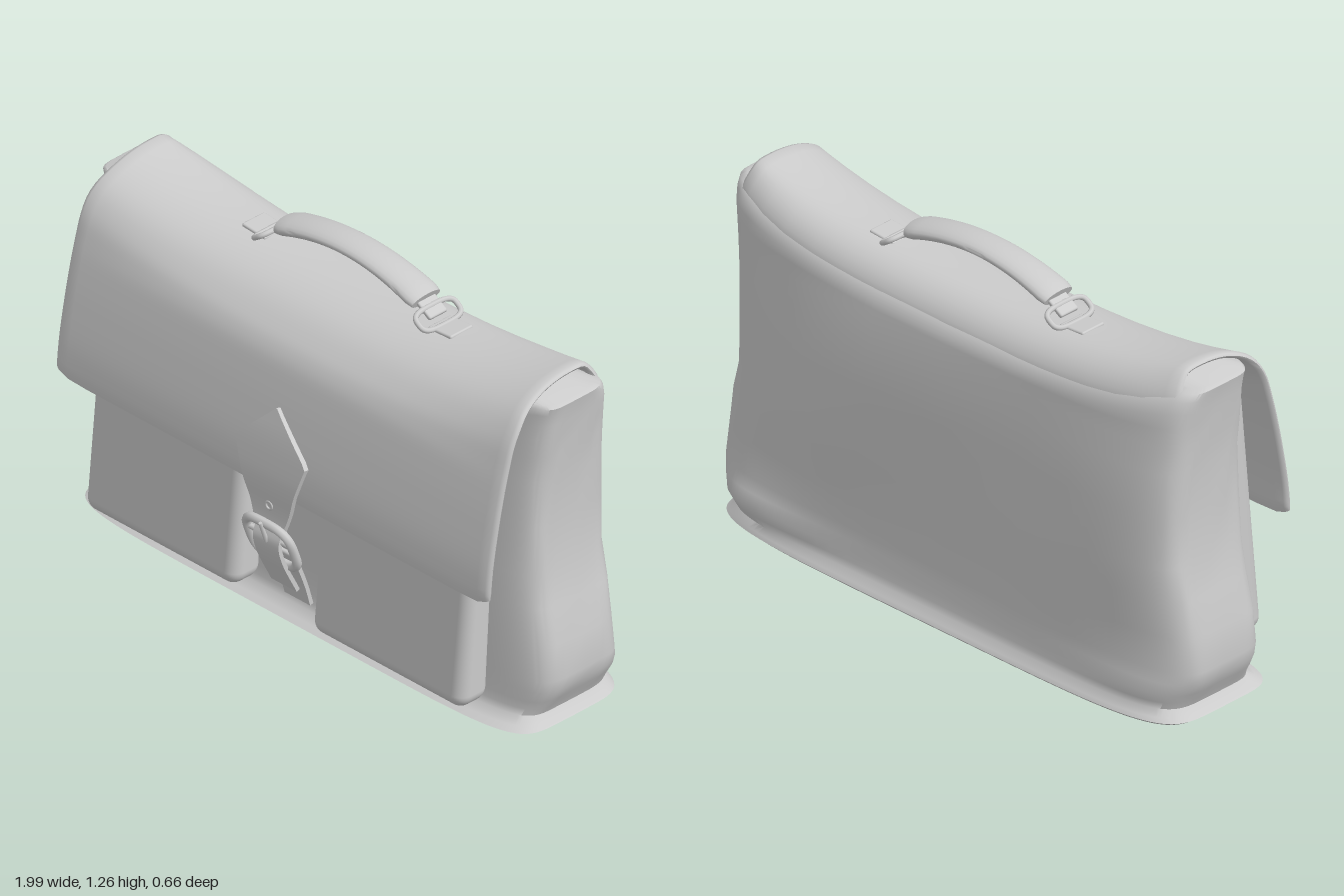
import * as THREE from 'three';
import { toCreasedNormals } from 'three/addons/utils/BufferGeometryUtils.js';
import { RoundedBoxGeometry } from 'three/addons/geometries/RoundedBoxGeometry.js';

const V = (x, y, z) => new THREE.Vector3(x, y, z);
const material = new THREE.MeshStandardMaterial({ color: 0xcccccc, side: THREE.DoubleSide });

function add(parent, name, geometry, x = 0, y = 0, z = 0) {
  const mesh = new THREE.Mesh(geometry, material);
  mesh.name = name;
  mesh.position.set(x, y, z);
  parent.add(mesh);
  return mesh;
}

// Skin over closed rings that all have the same number of points
function loft(rings, crease = 0.8) {
  const n = rings[0].length, index = [];
  for (let i = 0; i < rings.length - 1; i++) {
    for (let j = 0; j < n; j++) {
      const k = (j + 1) % n;
      const a = i * n + j, b = i * n + k, c = b + n, d = a + n;
      index.push(a, d, b, b, d, c);
    }
  }
  const g = new THREE.BufferGeometry().setFromPoints(rings.flat());
  g.setIndex(index);
  return toCreasedNormals(g, crease);
}

// Pocket box that leans back and thins out towards the top
function pocketGeometry() {
  const g = new RoundedBoxGeometry(0.655, 0.885, 0.13, 5, 0.045);
  const p = g.attributes.position;
  for (let i = 0; i < p.count; i++) {
    const t = p.getY(i) / 0.885 + 0.5;
    p.setZ(i, p.getZ(i) * (1 - 0.35 * t) + 0.231 - 0.068 * t);
  }
  return g;
}

// The soft top hangs lower in the middle than at the ends
const sag = (x, y) => 0.09 * THREE.MathUtils.smoothstep(y, 0.9, 1.14)
  * (1 - Math.min(1, Math.abs(x) / 0.92) ** 2.8);

// Leather sack: rounded rectangles by height [y, half width, front z, back z]
function bodyGeometry() {
  const levels = [
    [0, 0.001, -0.049, -0.051], [0, 0.955, 0.2, -0.3], [0.012, 0.972, 0.215, -0.312],
    [0.025, 0.955, 0.195, -0.305], [0.045, 0.94, 0.165, -0.283], [0.07, 0.952, 0.158, -0.278],
    [0.1, 0.97, 0.155, -0.275], [0.14, 0.99, 0.152, -0.272], [0.18, 0.998, 0.15, -0.27],
    [0.3, 0.988, 0.147, -0.272], [0.42, 0.965, 0.143, -0.278], [0.53, 0.945, 0.14, -0.282],
    [0.7, 0.94, 0.133, -0.28], [0.86, 0.943, 0.125, -0.277], [0.95, 0.95, 0.121, -0.265],
    [1.02, 0.957, 0.118, -0.262], [1.07, 0.962, 0.117, -0.258], [1.11, 0.968, 0.115, -0.243],
    [1.135, 0.973, 0.113, -0.22], [1.145, 0.96, 0.107, -0.195], [1.145, 0.001, -0.049, -0.051]
  ];
  const rounded = (t, n) => Math.sign(t) * Math.abs(t) ** (2 / n);
  return loft(levels.map(([y, w, front, back]) => {
    const ring = [];
    for (let j = 0; j < 120; j++) {
      const a = j / 120 * Math.PI * 2;
      // the front edges are crisper than the back ones
      const power = Math.sin(a) > 0 ? 6.5 : 5;
      const u = rounded(Math.cos(a), power), s = rounded(Math.sin(a), power);
      // shallow creases in the gussets and back panel, folds sticking out at the low back corners
      const belly = Math.sin(Math.PI * y / 1.145);
      const fold = 0.012 * Math.sin(y * 13 + s * 4) * Math.abs(u) ** 6 * belly;
      const wave = s < 0 ? 0.008 * Math.sin(u * 5 + y * 4) * belly : 0;
      const ear = s < 0 ? (u > 0 ? 0.11 : 0.04) * u ** 4 * s ** 4 * Math.exp(-(((y - 0.1) / 0.05) ** 2)) : 0;
      const x = u * (w - Math.abs(fold));
      ring.push(V(x, y - sag(x, y), (front + back) / 2 + s * (front - back) / 2 + wave - ear));
    }
    return ring;
  }), 1);
}

// Cover sheet: side profile (z, y) given thickness and swept across the width, back edge tucked in
function flapGeometry() {
  const profile = new THREE.CatmullRomCurve3([
    [0.285, 0.515], [0.276, 0.63], [0.252, 0.77], [0.233, 0.86], [0.208, 0.96], [0.175, 1.06],
    [0.125, 1.128], [0.04, 1.172], [-0.07, 1.19], [-0.16, 1.18], [-0.215, 1.14], [-0.238, 1.08]
  ].map(([z, y]) => V(0, y, z)));
  const N = 44, rings = [];
  const xs = [0.93, 0.926, 0.915, 0.88, 0.8, 0.7, 0.58, 0.45, 0.3, 0.15];
  const across = [...xs.map(x => -x), 0, ...xs.slice().reverse()];
  for (const x of across) {
    const edge = Math.abs(x);
    const thick = edge > 0.929 ? 0.0005 : edge > 0.92 ? 0.6 : 1;
    const outer = [], inner = [];
    for (let i = 0; i <= N; i++) {
      const p = profile.getPointAt(i / N), t = profile.getTangentAt(i / N);
      const lift = 0.025 * Math.max(0, (edge - 0.85) / 0.08) ** 2 * Math.max(0, 1 - i / 4);
      const px = x * (1 - 0.022 * THREE.MathUtils.smoothstep(p.y, 1.08, 1.2));
      const half = 0.011 * thick * (i === 0 || i === N ? 0.5 : 1);
      // towards the ends the back edge draws forward into the body
      const draw = 0.085 * edge ** 7 * THREE.MathUtils.smoothstep(-p.z, 0.1, 0.24);
      for (const [list, h] of [[outer, half], [inner, -half]]) {
        list.push(V(px, p.y + lift - sag(x, p.y) - t.z * h, p.z + draw + t.y * h));
      }
    }
    rings.push([...outer, ...inner.reverse()]);
  }
  return loft(rings);
}

// Padded grip, flat oval in section
function gripGeometry() {
  const rings = [];
  for (let i = -13; i <= 13; i++) {
    const u = Math.max(-1, Math.min(1, i / 12)), x = 0.297 * u;
    const size = Math.abs(i) === 13 ? 0.001 : 1 - 0.1 * (1 - u * u) + (Math.abs(i) === 12 ? -0.1 : 0);
    const ring = [];
    for (let j = 0; j < 20; j++) {
      const a = j / 20 * Math.PI * 2;
      const r = 0.027 * size * Math.cos(a);
      ring.push(V(x + r * 0.45 * u, 1.232 - 0.055 * u * u + r, -0.067 - 0.066 * size * Math.sin(a)));
    }
    rings.push(ring);
  }
  return loft(rings);
}

// Closed wire loop with rounded corners
function loopGeometry(w, h, radius) {
  const pts = [];
  for (let i = 0; i < 24; i++) {
    const a = i / 24 * Math.PI * 2, c = Math.cos(a), s = Math.sin(a);
    pts.push(V(w * Math.sign(c) * Math.abs(c) ** 0.6, h * Math.sign(s) * Math.abs(s) ** 0.6, 0));
  }
  return new THREE.TubeGeometry(new THREE.CatmullRomCurve3(pts, true), 64, radius, 8, true);
}

// Flat leather strip following a (y, z) path, its half width given by height
function strapGeometry(path, halfWidth, half = 0.007) {
  const curve = new THREE.CatmullRomCurve3(path.map(([y, z]) => V(0, y, z)));
  const rings = [];
  for (let i = 0; i <= 20; i++) {
    const p = curve.getPointAt(i / 20), t = curve.getTangentAt(i / 20);
    const w = halfWidth(p.y);
    rings.push([[-1, 1], [1, 1], [1, -1], [-1, -1]].map(([sx, sn]) =>
      V(sx * w, p.y + sn * half * t.z, p.z - sn * half * t.y)));
  }
  const shut = r => {
    const c = r.reduce((a, v) => a.add(v), V(0, 0, 0)).multiplyScalar(0.25);
    return r.map(() => c.clone());
  };
  return loft([shut(rings[0]), ...rings, shut(rings[20])], 0.6);
}

export function createModel() {
  const bag = new THREE.Group();
  bag.name = 'satchel';
  add(bag, 'body', bodyGeometry());
  add(bag, 'flap', flapGeometry());
  add(bag, 'leftPocket', pocketGeometry(), 0.485, 0.528, 0);
  add(bag, 'rightPocket', pocketGeometry(), -0.49, 0.528, 0);

  // Pointed closing tongue, its tail and the strap it buckles to
  const tongueWidth = y => y > 0.66 ? Math.max(0.002, 0.15 * (0.8 - y) / 0.14)
    : 0.055 + 0.095 * Math.max(0, y - 0.38) / 0.28;
  const even = () => 0.055;
  add(bag, 'tongue', strapGeometry(
    [[0.8, 0.264], [0.72, 0.282], [0.64, 0.294], [0.54, 0.302], [0.46, 0.294], [0.38, 0.3]], tongueWidth, 0.009));
  add(bag, 'tongueTail', strapGeometry([[0.39, 0.298], [0.35, 0.312], [0.29, 0.298], [0.16, 0.235]], even));
  add(bag, 'lowerStrap', strapGeometry([[0.085, 0.178], [0.16, 0.2], [0.25, 0.235], [0.34, 0.275]], even));

  // Buckle frame with bar, prong and keeper
  const buckle = new THREE.Group();
  buckle.name = 'buckle';
  buckle.position.set(0, 0.335, 0.293);
  buckle.rotation.x = 0.35;
  add(buckle, 'buckleFrame', loopGeometry(0.096, 0.085, 0.015));
  add(buckle, 'buckleBar', new THREE.CylinderGeometry(0.009, 0.009, 0.19, 10).rotateZ(Math.PI / 2), 0, 0.025, 0);
  add(buckle, 'prong', new THREE.CylinderGeometry(0.006, 0.008, 0.08, 8), 0, 0.06, 0.016);
  add(buckle, 'keeper', new RoundedBoxGeometry(0.16, 0.025, 0.02, 2, 0.008), 0, -0.035, -0.01);
  bag.add(buckle);
  add(bag, 'eyelet', new THREE.TorusGeometry(0.013, 0.004, 8, 16), 0, 0.47, 0.304);

  // Carrying handle with a ring, link and tab at each end
  const handle = new THREE.Group();
  handle.name = 'handle';
  add(handle, 'grip', gripGeometry());
  for (const side of [-1, 1]) {
    const ring = add(handle, 'handleRing', loopGeometry(0.036, 0.083, 0.009).rotateX(Math.PI / 2),
      side * 0.347, 1.142, -0.07);
    ring.rotation.z = -side * 0.6;
    const link = add(handle, 'handleLink', new RoundedBoxGeometry(0.07, 0.016, 0.075, 2, 0.006),
      side * 0.318, 1.157, -0.07);
    link.rotation.z = -side * 0.55;
    const tab = add(handle, 'handleTab', new RoundedBoxGeometry(0.1, 0.016, 0.095, 2, 0.006),
      side * 0.4, 1.118, -0.07);
    tab.rotation.z = side * 0.08;
  }
  bag.add(handle);
  return bag;
}
